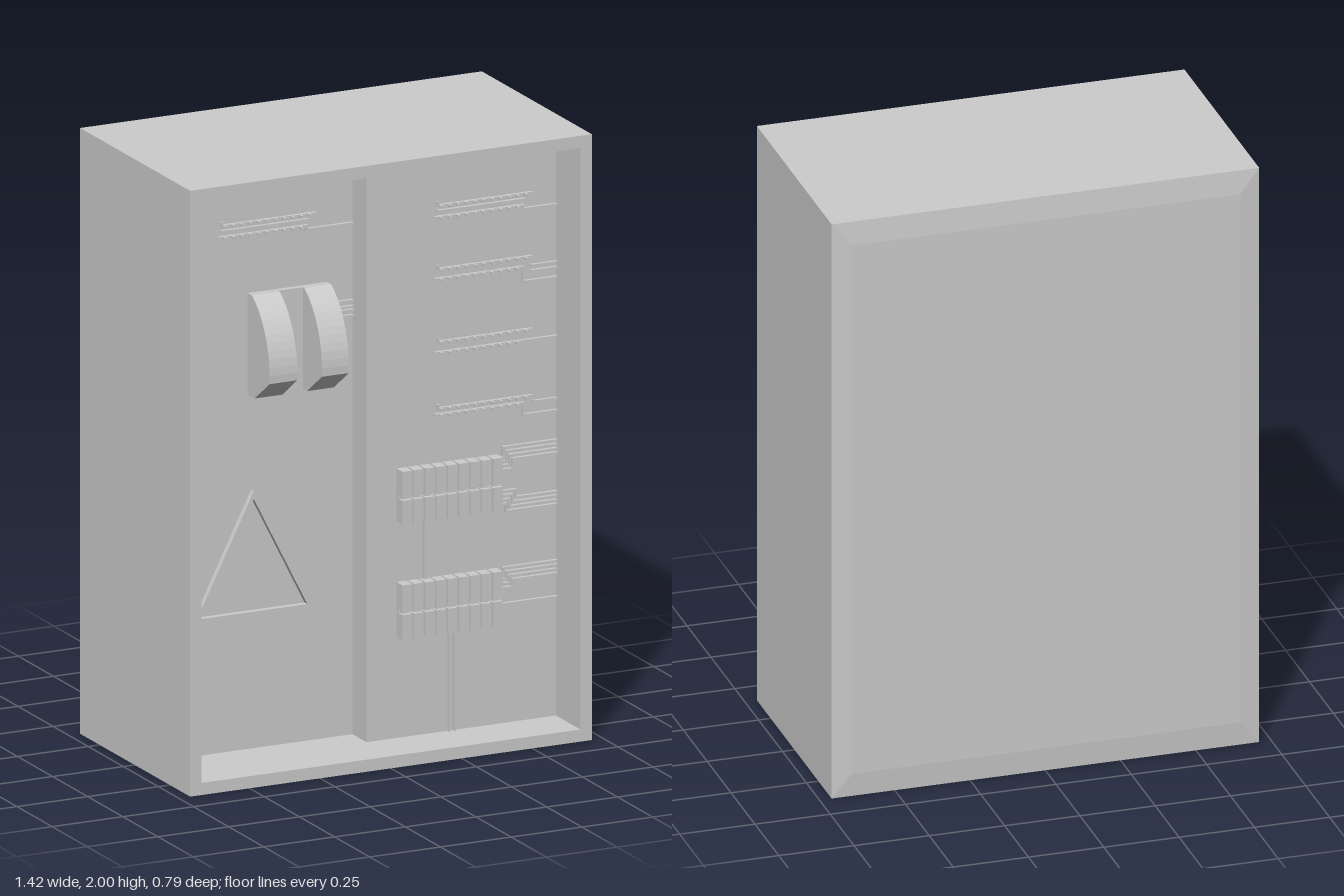
import * as THREE from 'three';

const material = new THREE.MeshStandardMaterial({ color: 0xcccccc, side: THREE.DoubleSide });
const LEFT_Z = 0.12, RIGHT_Z = 0.22; // front faces of the two inner panels

function add(parent, name, geometry, x = 0, y = 0, z = 0) {
  const mesh = new THREE.Mesh(geometry, material);
  mesh.name = name;
  mesh.position.set(x, y, z);
  parent.add(mesh);
  return mesh;
}

// Box given by its limits on each axis
function block(parent, name, x0, x1, y0, y1, z0, z1) {
  return add(parent, name, new THREE.BoxGeometry(x1 - x0, y1 - y0, z1 - z0),
    (x0 + x1) / 2, (y0 + y1) / 2, (z0 + z1) / 2);
}

function group(parent, name) {
  const g = new THREE.Group();
  g.name = name;
  parent.add(g);
  return g;
}

const polygon = (points) => points.map(([x, y]) => new THREE.Vector2(x, y));
const extrude = (shape, depth) => new THREE.ExtrudeGeometry(shape, { depth, bevelEnabled: false });

// Square wire running through axis-aligned points on a panel
function wire(parent, points, z, w = 0.007, height = 0.012) {
  for (let i = 0; i < points.length - 1; i++) {
    const [a, b] = [points[i], points[i + 1]];
    block(parent, 'wire', Math.min(a[0], b[0]) - w / 2, Math.max(a[0], b[0]) + w / 2,
      Math.min(a[1], b[1]) - w / 2, Math.max(a[1], b[1]) + w / 2, z, z + height);
  }
}

// Row of small pins standing off the panel along a rail
function pins(parent, x0, x1, y, z) {
  for (let x = x0; x <= x1; x += 0.03) block(parent, 'pin', x, x + 0.008, y - 0.004, y + 0.004, z, z + 0.03);
}

function cabinet(root) {
  block(root, 'cabinetBody', -0.71, 0.71, 0, 2, -0.388, LEFT_Z);
  const rim = new THREE.Shape(polygon([[-0.71, 0], [0.71, 0], [0.71, 2], [-0.71, 2]]));
  rim.holes.push(new THREE.Path(polygon([[-0.67, 0.04], [-0.67, 1.96], [0.67, 1.96], [0.67, 0.04]])));
  add(root, 'cabinetRim', extrude(rim, 0.395 - LEFT_Z), 0, 0, LEFT_Z);
  block(root, 'rightPanel', 0, 0.67, 0.04, 1.96, LEFT_Z, RIGHT_Z);

  // Shallow bulge on the back: the rear face of a thin box is drawn inwards
  const back = new THREE.BoxGeometry(1.42, 2, 0.007);
  const p = back.attributes.position;
  for (let i = 0; i < p.count; i++) {
    if (p.getZ(i) < 0) p.setXY(i, Math.sign(p.getX(i)) * 0.645, Math.sign(p.getY(i)) * 0.92);
  }
  back.computeVertexNormals();
  add(root, 'backBulge', back, 0, 1, -0.3915);
}

function switchUnit(root) {
  const unit = group(root, 'mainSwitch');
  // Side profile as (z, y): curved upper face and a steep lower facet
  const profile = new THREE.Shape();
  profile.moveTo(0, 1.21);
  profile.lineTo(0.05, 1.21);
  profile.lineTo(0.155, 1.285);
  profile.bezierCurveTo(0.165, 1.39, 0.11, 1.5, 0.03, 1.545);
  profile.lineTo(0, 1.545);
  for (const [x0, x1] of [[-0.37, -0.272], [-0.185, -0.09]]) {
    const lobe = add(unit, 'switchLobe', extrude(profile, x1 - x0), x1, 0, LEFT_Z);
    lobe.rotation.y = -Math.PI / 2; // profile x becomes z, depth runs to -x
  }
  block(unit, 'switchPlate', -0.272, -0.185, 1.21, 1.545, LEFT_Z, LEFT_Z + 0.02);
  for (const y of [1.475, 1.455, 1.443, 1.425]) wire(unit, [[-0.09, y], [0, y]], LEFT_Z);
}

function triangleSign(root) {
  const shape = new THREE.Shape(polygon([[-0.565, 0.485], [-0.15, 0.485], [-0.358, 0.895]]));
  shape.holes.push(new THREE.Path(polygon([[-0.546, 0.497], [-0.358, 0.868], [-0.169, 0.497]])));
  add(root, 'triangleFrame', extrude(shape, 0.02), 0, 0, LEFT_Z);
}

// Stacked pin rails whose wires step down to the panel edge
function railRow(root, x, top, gap, drop, end, z, middle) {
  const row = group(root, 'pinRail');
  wire(row, [[x, top + 0.01], [x, top], [x + 0.33, top]], z);
  if (middle) wire(row, [[x, top - 0.018], [x + 0.305, top - 0.018]], z);
  wire(row, [[x - 0.01, top - gap], [x + 0.3, top - gap], [x + 0.3, top - drop], [end, top - drop]], z);
  pins(row, x, x + 0.32, top, z);
  pins(row, x, x + 0.3, top - gap, z);
  return row;
}

// Row of nine terminals, each with an upper and lower jaw and a screw between
function terminalBlock(root, y0, y1) {
  const terminals = group(root, 'terminalBlock');
  const mid = (y0 + y1) / 2, pitch = 0.36 / 9;
  block(terminals, 'terminalBase', 0.107, 0.463, y0 + 0.003, y1 - 0.003, RIGHT_Z, RIGHT_Z + 0.015);
  for (let i = 0; i < 9; i++) {
    const x = 0.106 + i * pitch;
    block(terminals, 'upperJaw', x, x + 0.034, mid + 0.008, y1, RIGHT_Z, RIGHT_Z + 0.045);
    block(terminals, 'lowerJaw', x, x + 0.034, y0, mid - 0.008, RIGHT_Z, RIGHT_Z + 0.045);
    block(terminals, 'screw', x + 0.006, x + 0.028, mid - 0.008, mid + 0.008, RIGHT_Z, RIGHT_Z + 0.03);
  }
}

export function createModel() {
  const root = new THREE.Group();
  root.name = 'controlCabinet';
  cabinet(root);
  switchUnit(root);
  triangleSign(root);

  // Pin rails
  railRow(root, -0.465, 1.78, 0.038, 0.05, 0, LEFT_Z, true);
  railRow(root, 0.25, 1.78, 0.038, 0.05, 0.67, RIGHT_Z, true);
  const second = railRow(root, 0.25, 1.57, 0.032, 0.08, 0.67, RIGHT_Z, false);
  railRow(root, 0.25, 1.33, 0.035, 0.035, 0.67, RIGHT_Z, false);
  const fourth = railRow(root, 0.25, 1.11, 0.02, 0.06, 0.67, RIGHT_Z, false);
  for (const y of [1.54, 1.522]) wire(second, [[0.58, y], [0.67, y]], RIGHT_Z);
  wire(fourth, [[0.59, 1.09], [0.67, 1.09]], RIGHT_Z);

  // Terminals and their stepped wiring
  terminalBlock(root, 0.755, 0.93);
  terminalBlock(root, 0.375, 0.555);
  const wiring = group(root, 'terminalWiring');
  for (let i = 0; i < 4; i++) {
    const s = i * 0.014, x = 0.48 + i * 0.011;
    wire(wiring, [[0.465, 0.92 - s], [x, 0.92 - s], [x, 0.952 - s], [0.67, 0.952 - s]], RIGHT_Z);
    wire(wiring, [[0.465, 0.765 + s], [x + 0.01, 0.765 + s], [x + 0.01, 0.74 + s], [0.67, 0.74 + s]], RIGHT_Z);
    wire(wiring, [[0.465, 0.53 - s], [x, 0.53 - s], [x, 0.554 - s], [0.67, 0.554 - s]], RIGHT_Z);
  }
  wire(wiring, [[0.465, 0.435], [0.67, 0.435]], RIGHT_Z);
  wire(wiring, [[0.205, 0.755], [0.205, 0.555]], RIGHT_Z, 0.012);
  wire(wiring, [[0.115, 0.368], [0.29, 0.368], [0.29, 0.04]], RIGHT_Z);
  wire(wiring, [[0.46, 0.368], [0.308, 0.368], [0.308, 0.04]], RIGHT_Z);
  return root;
}
